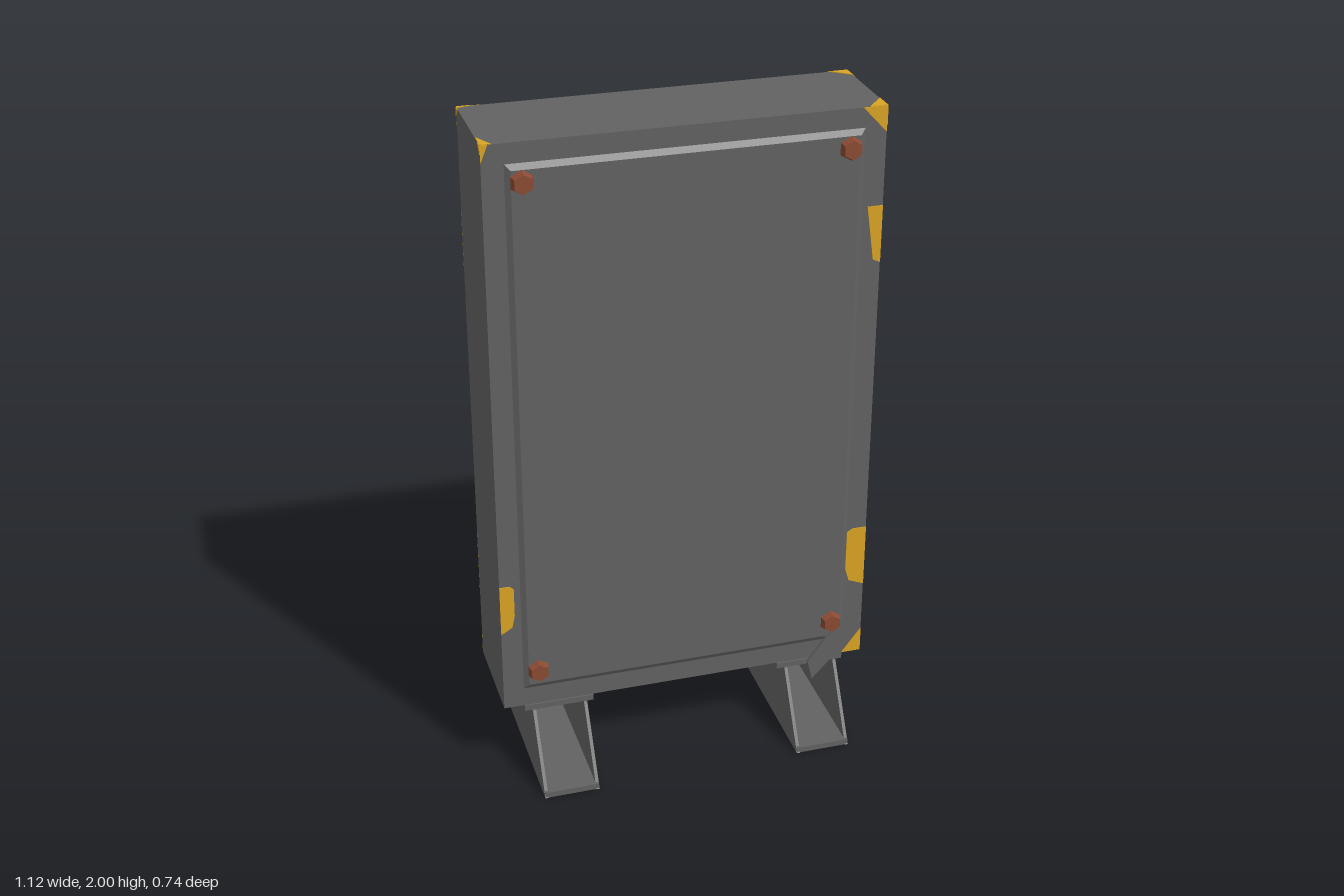
import * as THREE from 'three';

const mat = (name, color, side = THREE.FrontSide) => {
  const m = new THREE.MeshStandardMaterial({ color, side });
  m.name = name;
  return m;
};

export function createModel() {
  const root = new THREE.Group();
  root.name = 'standingBarrier';
  const steel = mat('darkGreySteel', 0x626262, THREE.DoubleSide);
  const yellow = mat('wornYellowPaint', 0xd9a423);
  const rust = mat('rust', 0x8a4a32);

  const add = (name, geo, material, x = 0, y = 0, z = 0, parent = root) => {
    const mesh = new THREE.Mesh(geo, material);
    mesh.name = name;
    mesh.position.set(x, y, z);
    parent.add(mesh);
    return mesh;
  };
  const slab = (pts, depth) => new THREE.ExtrudeGeometry(
    new THREE.Shape(pts.map(p => new THREE.Vector2(p[0], p[1]))), { depth, bevelEnabled: false });

  // Main panel
  const W = 0.56, BOT = 0.24, TOP = 1.998, BACK = -0.088, FRONT = 0.222;
  add('panel', new THREE.BoxGeometry(2 * W, TOP - BOT, FRONT - BACK), steel,
    0, (TOP + BOT) / 2, (FRONT + BACK) / 2);

  // Slightly raised front sheet with sloping borders
  const sheet = new THREE.BoxGeometry(0.998, 1.64, 0.01);
  const sp = sheet.attributes.position;
  for (let i = 0; i < sp.count; i++) {
    if (sp.getZ(i) > 0) sp.setXY(i, sp.getX(i) * 0.97, sp.getY(i) * 0.98);
  }
  sheet.computeVertexNormals();
  add('frontSheet', sheet, steel, 0, 1.12, FRONT + 0.005);

  // Bolts on the front sheet
  for (const [x, y] of [[-0.455, 1.89], [0.455, 1.89], [-0.455, 0.365], [0.455, 0.37]]) {
    const bolt = add('bolt', new THREE.CylinderGeometry(0.028, 0.036, 0.026, 6).toNonIndexed(), rust, x, y, 0.24);
    bolt.geometry.computeVertexNormals();
    bolt.rotation.x = Math.PI / 2;
  }

  // Worn paint: outlines in each face's own plane, laid on as thin plates
  const T = 0.002;
  const faces = {
    front: { rot: [0, 0, 0], pos: [0, 0, FRONT] },
    back: { rot: [0, Math.PI, 0], pos: [0, 0, BACK] },
    right: { rot: [0, -Math.PI / 2, 0], pos: [-W, 0, 0] },
    left: { rot: [0, Math.PI / 2, 0], pos: [W, 0, 0] },
    top: { rot: [-Math.PI / 2, 0, 0], pos: [0, TOP, 0] },
  };
  const paint = (face, pts) => {
    const { rot, pos } = faces[face];
    add(face + 'Paint', slab(pts, T), yellow, ...pos).rotation.set(...rot);
  };
  // Chipped corner: point (x, y) with legs running dx and dy inwards
  const corner = (face, x, y, dx, dy) =>
    paint(face, [[x, y], [x + dx, y], [x + dx * 0.6, y + dy * 0.4], [x, y + dy]]);
  // Edge mark running from y0 to y1, reaching inwards by w
  const mark = (face, x, w, y0, y1) =>
    paint(face, [[x, y0], [x + w * 0.8, y0 + 0.02], [x + w, y0 + 0.06], [x + w, y1 - 0.01], [x + w * 0.7, y1], [x, y1]]);

  corner('front', W, TOP, -0.07, -0.075);
  corner('front', W, BOT, -0.06, 0.08);
  corner('front', -W, TOP, 0.02, -0.05);
  paint('front', [[0.515, 1.71], [0.538, 1.55], [W, 1.54], [W, 1.71]]);
  mark('front', W, -0.06, 0.48, 0.68);
  mark('front', -W, 0.042, 0.5, 0.66);
  for (const s of [-1, 1]) {
    corner('back', s * W, TOP, -s * 0.065, -0.07);
    corner('back', s * W, BOT, -s * 0.06, 0.06);
    mark('back', s * W, -s * 0.065, 1.52, 1.71);
    mark('back', s * W, -s * 0.065, 0.47, 0.67);
  }
  corner('left', -FRONT, TOP, 0.045, -0.055);
  corner('left', -BACK, TOP, -0.06, -0.06);
  corner('left', -BACK, BOT, -0.05, 0.06);
  corner('right', BACK, TOP, 0.025, -0.025);
  corner('right', FRONT, TOP, -0.025, -0.025);
  corner('top', W, -BACK, -0.055, -0.045);
  corner('top', W, -FRONT, -0.05, 0.06);
  corner('top', -W, -FRONT, 0.03, 0.06);
  corner('top', -W, -BACK, 0.04, -0.01);

  // Feet: open channels with two tapered side walls
  const wall = [[-0.37, 0], [-0.235, 0.225], [0.09, 0.225], [0.11, 0.28], [0.19, 0.28], [0.225, 0.222], [0.37, 0]];
  for (const s of [-1, 1]) {
    const foot = new THREE.Group();
    foot.name = s > 0 ? 'leftFoot' : 'rightFoot';
    foot.position.x = s * 0.394;
    root.add(foot);
    for (const x of [-0.083, 0.073]) {
      add('footWall', slab(wall, 0.01), steel, x, 0, 0, foot).rotation.y = Math.PI / 2;
    }
    add('footFloor', new THREE.BoxGeometry(0.164, 0.018, 0.736), steel, 0, 0.009, 0, foot);
    add('footFlange', new THREE.BoxGeometry(0.21, 0.018, 0.32), steel, 0, 0.231, 0.067, foot);
    // Folded sheet closing the rear of the channel
    const fold = [[-0.08, 0.27], [-0.02, 0.235], [0, 0.175], [0.02, 0.235], [0.08, 0.27],
      [0.08, 0.258], [0.028, 0.222], [0, 0.165], [-0.028, 0.222], [-0.08, 0.258]];
    add('rearFold', slab(fold, 0.1), steel, 0, 0, -0.19, foot);
    // Torn tabs gripping the back of the panel
    for (const [x, h] of [[-0.09, 0.28], [-0.03, 0.26], [0.035, 0.285]]) {
      add('rearTab', slab([[x, 0.21], [x + 0.055, 0.21], [x + 0.04, h], [x + 0.01, h - 0.015]], 0.008),
        steel, 0, 0, -0.1, foot);
    }
    // Rust on the rear of the floor
    const stain = slab([[-0.025, 0.33], [0.025, 0.33], [0.03, 0.366], [-0.02, 0.366]], T);
    add('rustStain', stain, rust, s > 0 ? 0 : 0.045, 0.018, 0, foot).rotation.x = -Math.PI / 2;
  }
  add('footPaint', slab([[0.315, 0.366], [0.35, 0.366], [0.33, 0.345], [0.315, 0.345]], T),
    yellow, 0, 0.018, 0).rotation.x = -Math.PI / 2;

  // Bent tab in front of the left foot
  add('bentTab', slab([[0.4, 0.17], [0.46, 0.235], [0.495, 0.25], [0.49, 0.36], [0.44, 0.31], [0.385, 0.235]], 0.01),
    steel, 0, 0, 0.228);
  return root;
}
